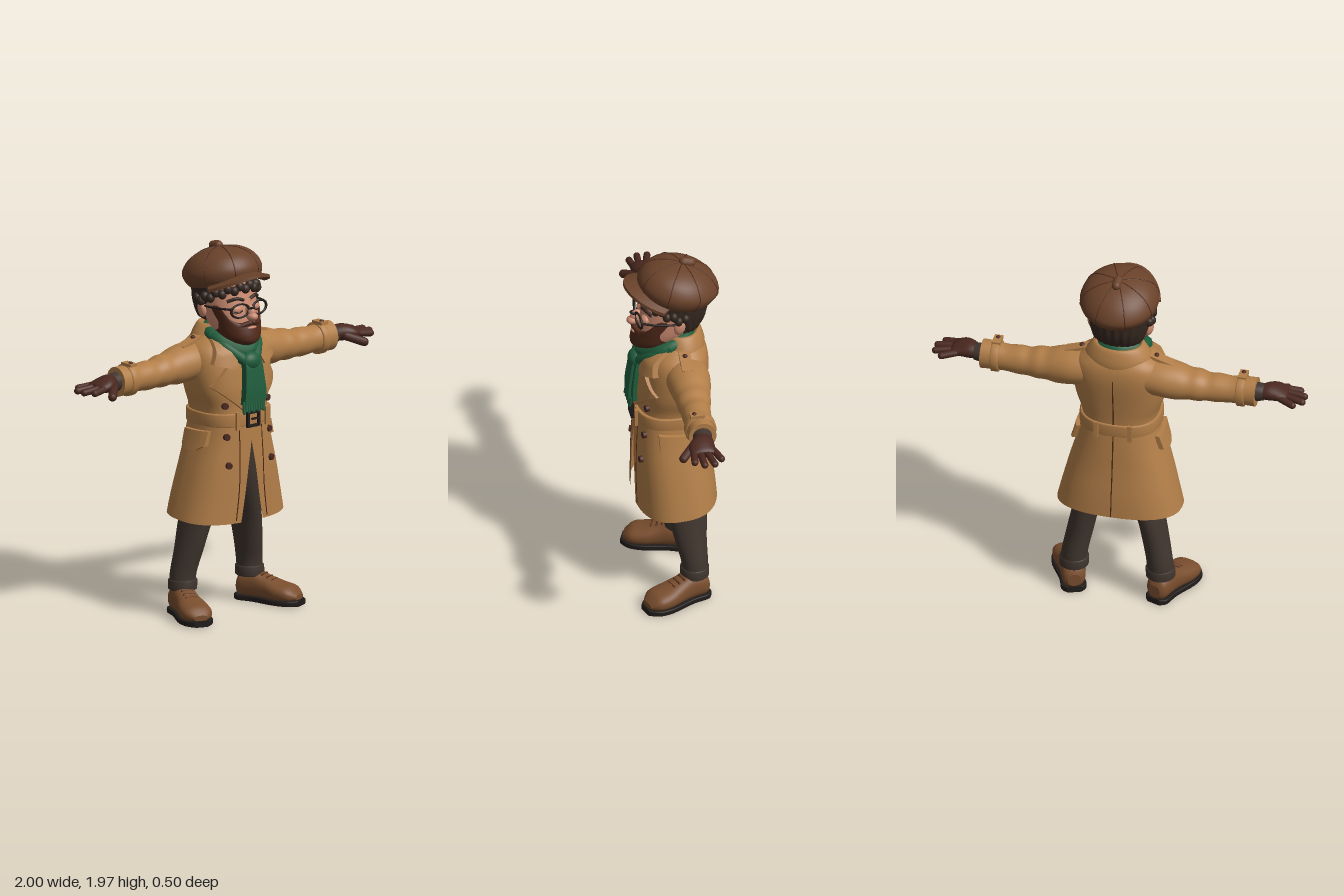
import * as THREE from 'three';

const mat = (name, color, side = THREE.FrontSide) => {
  const m = new THREE.MeshStandardMaterial({ color, side });
  m.name = name;
  return m;
};
const V = (x, y, z) => new THREE.Vector3(x, y, z);

export function createModel() {
  const tan = mat('coat tan', 0xb27e48, THREE.DoubleSide), brown = mat('cap brown', 0x6a422a);
  const maroon = mat('glove brown', 0x4a2820), charcoal = mat('trouser charcoal', 0x40352e);
  const green = mat('scarf green', 0x1f5c3c), skin = mat('skin', 0xcb8a70);
  const hairMat = mat('hair dark brown', 0x35271f, THREE.DoubleSide), beardMat = mat('beard brown', 0x50291a, THREE.DoubleSide);
  const leather = mat('shoe leather', 0x7a4e2e), dark = mat('black', 0x211c1a);

  const root = new THREE.Group();
  root.name = 'figure';
  let into = root;
  const add = (name, geo, m, pos = [0, 0, 0], scale = [1, 1, 1], rot = [0, 0, 0]) => {
    const mesh = new THREE.Mesh(geo, m);
    mesh.name = name;
    mesh.position.set(...pos); mesh.scale.set(...scale); mesh.rotation.set(...rot);
    into.add(mesh);
    return mesh;
  };
  const ball = (name, m, pos, scale, rot) => add(name, new THREE.SphereGeometry(1, 20, 14), m, pos, scale, rot);
  const box = (name, m, pos, size, rot) => add(name, new THREE.BoxGeometry(...size), m, pos, undefined, rot);
  const tube = (name, pts, r, m, closed = false) =>
    add(name, new THREE.TubeGeometry(new THREE.CatmullRomCurve3(pts.map(p => V(...p)), closed), 40, r, 10, closed), m);
  const limb = (name, a, b, r, m) => {
    const A = V(...a), d = V(...b).sub(A), mesh = add(name, new THREE.CapsuleGeometry(r, d.length(), 5, 12), m);
    mesh.position.copy(A).addScaledVector(d, 0.5);
    mesh.quaternion.setFromUnitVectors(V(0, 1, 0), d.normalize());
  };

  // Smooth skin over rings: [along, centre 1, centre 2, radius 1, radius 2, gap angle]
  const loft = (name, axis, rows, m, { n = 2, seg = 40, mid = Math.PI / 2, sub = 4, warp } = {}) => {
    const gapped = rows.some(r => r[5]), w = gapped ? seg + 1 : seg, pos = [], idx = [], rings = [];
    const up = axis === 'y';
    const point = (r, a) => {
      const c = Math.cos(a), s = Math.sin(a), e = 2 / n;
      const p = r[1] + r[3] * Math.sign(c) * Math.abs(c) ** e, q = r[2] + r[4] * Math.sign(s) * Math.abs(s) ** e;
      const v = up ? V(p, r[0], q) : V(r[0], p, q);
      if (warp) warp(v, a);
      pos.push(v.x, v.y, v.z);
    };
    for (let i = 0; i < rows.length - 1; i++)
      for (let k = i ? 1 : 0; k <= sub; k++) {
        const t = k / sub, R = j => rows[Math.min(Math.max(j, 0), rows.length - 1)];
        rings.push([0, 1, 2, 3, 4, 5].map(d => {
          const [a, b, c, e] = [R(i - 1), R(i), R(i + 1), R(i + 2)].map(x => x[d] || 0);
          return b + 0.5 * t * (c - a + t * (2 * a - 5 * b + 4 * c - e + t * (3 * (b - c) + e - a)));
        }));
      }
    const ring = r => {
      const g = Math.max(0, r[5]);
      for (let j = 0; j < w; j++) point(r, mid + g + (2 * Math.PI - 2 * g) * j / seg);
    };
    const tri = (a, b, c) => up ? idx.push(a, c, b) : idx.push(a, b, c);
    rings.forEach(ring);
    for (let i = 0; i < rings.length - 1; i++)
      for (let j = 0; j < seg; j++) {
        const a = i * w + j, b = i * w + (j + 1) % w;
        tri(a, b, b + w); tri(a, b + w, a + w);
      }
    if (!gapped) [rings[0], rings.at(-1)].forEach((r, end) => {
      const s = pos.length / 3;
      ring(r);
      point([r[0], r[1], r[2], 0, 0], 0);
      for (let j = 0; j < seg; j++) end ? tri(s + w, s + j, s + (j + 1) % w) : tri(s + w, s + (j + 1) % w, s + j);
    });
    const g = new THREE.BufferGeometry();
    g.setAttribute('position', new THREE.Float32BufferAttribute(pos, 3));
    g.setIndex(idx);
    g.computeVertexNormals();
    return add(name, g, m);
  };

  // Coat body
  const skirt = [[.535, 0, -.015, .33, .215, .155], [.65, 0, -.01, .303, .21, .11], [.8, 0, 0, .265, .2, .06],
    [.95, 0, .005, .223, .19, 0], [1.08, 0, .01, .198, .18, 0]];
  const bodice = [[1.04, 0, .01, .2, .18], [1.12, 0, .005, .203, .175], [1.22, 0, 0, .235, .178], [1.35, 0, -.015, .25, .175],
    [1.43, 0, -.025, .235, .158], [1.48, 0, -.035, .18, .125], [1.52, 0, -.045, .12, .09]];
  const N = 2.5, coatRows = [...skirt.slice(0, 4), ...bodice];
  loft('coatSkirt', 'y', skirt, tan, { n: N, seg: 64, warp: v => { v.y -= .018 * (v.z / .2) * Math.max(0, (1 - v.y) / .46); } });
  loft('coatBodice', 'y', bodice, tan, { n: N, seg: 56 });
  const coatAt = y => {
    let i = 0;
    while (i < coatRows.length - 2 && coatRows[i + 1][0] < y) i++;
    const a = coatRows[i], b = coatRows[i + 1], t = Math.min(1, Math.max(0, (y - a[0]) / (b[0] - a[0])));
    return a.map((v, d) => v + ((b[d] || 0) - v) * t);
  };
  const bulge = t => (1 - Math.min(.97, Math.abs(t)) ** N) ** (1 / N);
  const frontZ = (x, y) => { const r = coatAt(y); return r[2] + r[4] * bulge(x / r[3]); };
  const sideX = (z, y) => { const r = coatAt(y); return r[3] * bulge((z - r[2]) / r[4]); };

  // Cloth panel laid on the coat, corners anticlockwise from bottom left
  const panel = (name, [a, b, c, d], off, m, onSide = false) => {
    const g = new THREE.BoxGeometry(1, 1, 1, 8, 8, 1), p = g.attributes.position;
    for (let i = 0; i < p.count; i++) {
      const u = p.getX(i) + .5, v = p.getY(i) + .5, o = p.getZ(i) > 0 ? off : -.01;
      const [x, y] = [0, 1].map(k => (1 - v) * ((1 - u) * a[k] + u * b[k]) + v * ((1 - u) * d[k] + u * c[k]));
      onSide ? p.setXYZ(i, sideX(-x, y) + o, y, -x) : p.setXYZ(i, x, y, frontZ(x, y) + o);
    }
    g.computeVertexNormals();
    return add(name, g, m);
  };

  // Belt, buckle, seams and collar
  loft('belt', 'y', [1.03, 1.035, 1.095, 1.1].map((y, i) => [y, 0, .01, i % 3 ? .215 : .208, i % 3 ? .193 : .187]), tan, { n: N, sub: 1 });
  for (const s of [-1, 1]) {
    box('buckleSide', dark, [s * .037, 1.065, .208], [.013, .085, .018]);
    box('buckleBar', dark, [0, 1.065 + s * .036, .208], [.075, .013, .018]);
    box('beltLoop', tan, [s * .1, 1.065, .2], [.022, .095, .014]);
    box('backBeltLoop', tan, [s * .09, 1.065, -.183], [.022, .095, .014]);
  }
  box('bucklePin', dark, [.01, 1.065, .21], [.045, .008, .014]);
  tube('backSeam', [1.46, 1.35, 1.22, 1.12, .95, .8, .65, .56].map(y => { const r = coatAt(y); return [0, y, r[2] - r[4]]; }), .0035, beardMat);
  loft('collar', 'y', [[1.43, 0, -.045, .185, .13, .75], [1.48, 0, -.05, .178, .125, .75], [1.54, 0, -.05, .14, .105, .75],
    [1.545, 0, -.045, .115, .09, .75], [1.47, 0, -.04, .1, .08, .75]], tan);

  // Scarf
  tube('scarfWrap', [[0, 1.52, -.09], [.1, 1.51, -.03], [.11, 1.475, .07], [0, 1.415, .15], [-.11, 1.475, .07], [-.1, 1.51, -.03]], .04, green, true);
  tube('scarfFold', [[.13, 1.5, .02], [.1, 1.44, .12], [0, 1.365, .185], [-.1, 1.44, .12], [-.13, 1.5, .02]], .03, green);
  ball('scarfKnot', green, [0, 1.37, .185], [.06, .05, .042]);
  panel('scarfBackTail', [[.0, 1.17], [.09, 1.16], [.07, 1.38], [-.02, 1.38]], .042, green);
  panel('scarfFrontTail', [[-.075, 1.15], [.06, 1.15], [.05, 1.38], [-.05, 1.38]], .056, green);
  for (let i = 0; i < 9; i++) {
    const x = -.072 + i * .0165;
    limb('scarfFringe', [x, 1.16, .218], [x - .006, 1.11 + (i % 2) * .008, .226], .008, green);
  }

  // Paired parts, made on the left and mirrored
  for (const side of [1, -1]) {
    into = new THREE.Group();
    into.name = side > 0 ? 'leftSide' : 'rightSide';
    into.scale.x = side;
    root.add(into);

    // Coat details
    panel('lapel', [[.035, 1.1], [.215, 1.25], [.08, 1.42], [.02, 1.3]], .02, tan);
    panel('collarLeaf', [[.1, 1.34], [.205, 1.37], [.15, 1.5], [.06, 1.43]], .034, tan);
    panel('pocketFlap', [[-.095, .93], [.075, .92], [.08, 1.0], [-.1, 1.01]], .026, tan, true);
    panel('pocketPoint', [[-.04, .905], [.03, .9], [.07, .925], [-.09, .935]], .026, tan, true);
    tube('frontSeam', [[.075, 1.02], [.08, .85], [.085, .7], [.105, .53]].map(([x, y]) => [x, y, frontZ(x, y)]), .003, beardMat);
    for (const y of [1.144, .98, .83])
      add('button', new THREE.CylinderGeometry(.017, .019, .018, 16), maroon, [.145, y, frontZ(.145, y) + .005], undefined, [Math.PI / 2, 0, -.3]);

    // Sleeve and cuff
    loft('sleeve', 'x', [[.13, 1.37, -.05, .095, .11], [.24, 1.362, -.05, .1, .115], [.32, 1.352, -.05, .097, .104], [.38, 1.346, -.048, .083, .093],
      [.43, 1.343, -.045, .084, .09], [.48, 1.338, -.043, .073, .08], [.53, 1.338, -.04, .077, .077], [.6, 1.338, -.038, .07, .072],
      [.66, 1.34, -.035, .076, .072], [.735, 1.34, -.035, .079, .073]], tan);
    loft('cuffStrap', 'x', [.635, .64, .675, .68].map((x, i) => [x, 1.34, -.036, i % 3 ? .086 : .078, i % 3 ? .083 : .075]), tan, { sub: 1 });
    box('cuffTab', tan, [.658, 1.425, -.02], [.045, .016, .075]);
    ball('cuffButton', maroon, [.658, 1.434, -.005], [.012, .008, .012]);
    box('epaulette', tan, [.225, 1.468, -.04], [.13, .016, .06], [0, 0, -.32]);
    ball('epauletteButton', maroon, [.2, 1.488, -.04], [.013, .01, .013]);

    // Glove
    loft('knitWrist', 'x', [[.7, 1.343, -.035, .05, .052], [.74, 1.343, -.033, .049, .05], [.775, 1.343, -.03, .044, .048]], charcoal);
    loft('palm', 'x', [[.76, 1.345, -.03, .038, .045], [.8, 1.348, -.02, .044, .06], [.84, 1.346, -.012, .04, .068], [.885, 1.34, -.015, .028, .066], [.9, 1.337, -.018, .018, .055]], maroon);
    [[-.068, .94, -.097], [-.03, .982, -.055], [.006, .982, -.002], [.035, .95, .045]].forEach(([z, tx, tz]) =>
      limb('finger', [.87, 1.34, z], [tx, 1.33, tz], .0185, maroon));
    limb('thumb', [.8, 1.335, .025], [.868, 1.305, .09], .023, maroon);

    // Trouser leg with turn-up
    loft('trouserLeg', 'y', [[.14, .232, -.085, .07, .068], [.22, .228, -.085, .069, .07], [.35, .203, -.068, .07, .085], [.5, .17, -.055, .073, .105],
      [.7, .11, -.03, .1, .12], [.85, .085, -.02, .1, .12], [.95, .08, -.01, .09, .11]], charcoal);
    loft('turnUp', 'y', [[.135, .232, -.085, .072, .07], [.14, .232, -.085, .077, .075], [.185, .23, -.085, .077, .075], [.19, .23, -.085, .07, .068]], charcoal, { sub: 1 });

    // Shoe, heel to toe along local x
    const leg = into;
    into = new THREE.Group();
    into.name = 'shoe';
    into.position.set(.24, 0, -.08);
    into.rotation.y = -Math.PI / 2 + .36;
    leg.add(into);
    loft('shoeUpper', 'x', [[-.075, .07, 0, .035, .035], [-.05, .08, 0, .065, .06], [.03, .088, 0, .075, .064], [.09, .076, 0, .065, .068],
      [.17, .062, 0, .053, .083], [.24, .056, 0, .042, .077], [.283, .045, 0, .015, .038]], leather, { n: 2.3 });
    loft('sole', 'x', [[-.082, .016, 0, .016, .04], [-.05, .016, 0, .016, .066], [.04, .016, 0, .016, .066], [.17, .016, 0, .016, .088],
      [.25, .016, 0, .016, .078], [.295, .016, 0, .016, .04]], dark, { n: 7 });
    for (let i = 0; i < 3; i++) limb('lace', [.075 + i * .03, .142 - i * .011, -.028], [.075 + i * .03, .142 - i * .011, .028], .006, beardMat);
    into = leg;

    // Face details
    ball('ear', skin, [.155, 1.635, -.02], [.02, .043, .032], [0, .3, -.15]);
    ball('eyelid', skin, [.06, 1.648, .142], [.034, .026, .027]);
    tube('lashLine', [[.034, 1.642, .164], [.06, 1.634, .168], [.085, 1.642, .158]], .003, dark);
    tube('eyebrow', [[.02, 1.694, .155], [.06, 1.706, .148], [.105, 1.692, .118]], .009, hairMat);
    add('lensRim', new THREE.TorusGeometry(.042, .006, 8, 28), dark, [.066, 1.648, .18], [1.3, .86, 1], [0, .15, 0]);
    tube('glassesArm', [[.121, 1.662, .172], [.148, 1.66, .1], [.158, 1.655, -.03]], .006, dark);
    limb('moustache', [.012, 1.578, .196], [.062, 1.56, .168], .014, beardMat);
  }
  into = root;

  // Head
  loft('neck', 'y', [[1.38, 0, -.02, .08, .08], [1.58, 0, -.01, .08, .085]], skin);
  loft('head', 'y', [[1.46, 0, .1, .05, .06], [1.5, 0, .075, .1, .105], [1.56, 0, .045, .13, .137], [1.64, 0, .022, .14, .147],
    [1.72, 0, 0, .145, .148], [1.8, 0, -.01, .145, .14]], skin);
  ball('nose', skin, [0, 1.628, .182], [.022, .045, .034], [-.25, 0, 0]);
  ball('noseTip', skin, [0, 1.612, .203], [.028, .022, .03]);
  tube('glassesBridge', [[-.018, 1.655, .192], [0, 1.66, .212], [.018, 1.655, .192]], .006, dark);
  loft('beard', 'y', [[1.452, 0, .135, .02, .03, 1.25], [1.47, 0, .122, .07, .085, 1.25], [1.5, 0, .09, .11, .124, 1.25],
    [1.54, 0, .06, .13, .145, 1.25], [1.572, 0, .045, .14, .147, 1.25], [1.578, 0, .04, .13, .135, 1.25]], beardMat,
    { mid: -Math.PI / 2, warp: v => { v.y += 1.15 * Math.max(0, v.y - 1.5) * Math.min(1, Math.abs(v.x) / .13) ** 5; } });
  ball('chinBeard', beardMat, [0, 1.495, .16], [.075, .042, .055]);
  ball('lip', skin, [0, 1.552, .195], [.032, .008, .014]);
  loft('hair', 'y', [[1.555, 0, -.06, .085, .05, 1.2], [1.585, 0, -.055, .13, .095, 1.25], [1.64, 0, -.04, .15, .14, 1.4], [1.69, 0, -.03, .162, .16, 1.2],
    [1.78, 0, -.02, .172, .175, .95]], hairMat, { seg: 72, warp: (v, a) => { const k = 1 + .02 * Math.sin(22 * a); v.x *= k; v.z *= k; } });

  // Flat cap, tipped back, with curls under its edge
  into = new THREE.Group();
  into.name = 'cap';
  into.position.set(0, 1.75, -.02);
  into.rotation.x = -.22;
  root.add(into);
  const crown = [[0, 0, 0, .175, .18], [.03, 0, 0, .198, .203], [.08, 0, -.005, .205, .215], [.14, 0, 0, .17, .175], [.18, 0, 0, .1, .1], [.196, 0, 0, .01, .01]];
  loft('crown', 'y', crown, brown, { seg: 48 });
  for (let i = 0; i < 8; i++) {
    const a = (i + .5) * Math.PI / 4;
    tube('crownSeam', crown.map(r => [r[3] * Math.cos(a), r[0], r[2] + r[4] * Math.sin(a)]), .0028, beardMat);
  }
  limb('capButton', [0, .2, -.045], [0, .2, -.005], .024, brown);
  const brim = new THREE.BoxGeometry(1, 1, 1, 28, 1, 4), bp = brim.attributes.position;
  for (let i = 0; i < bp.count; i++) {
    const a = Math.PI / 2 - bp.getX(i) * 2.5, t = bp.getZ(i) + .5, c = Math.cos(a), s = Math.sin(a);
    bp.setXYZ(i, (.17 + .035 * t) * c, .045 - .02 * t - .045 * c * c + bp.getY(i) * .016, (.17 + .11 * t) * s);
  }
  brim.computeVertexNormals();
  add('brim', brim, brown);
  for (let i = 0; i < 19; i++) {
    const a = -.25 + i * (Math.PI + .5) / 18, s = Math.sin(a);
    ball('curl', hairMat, [.166 * Math.cos(a), -.018 - .018 * (i % 2) - .03 * (1 - Math.max(0, s)), .162 * s], [.024, .026, .022]);
  }
  return root;
}
